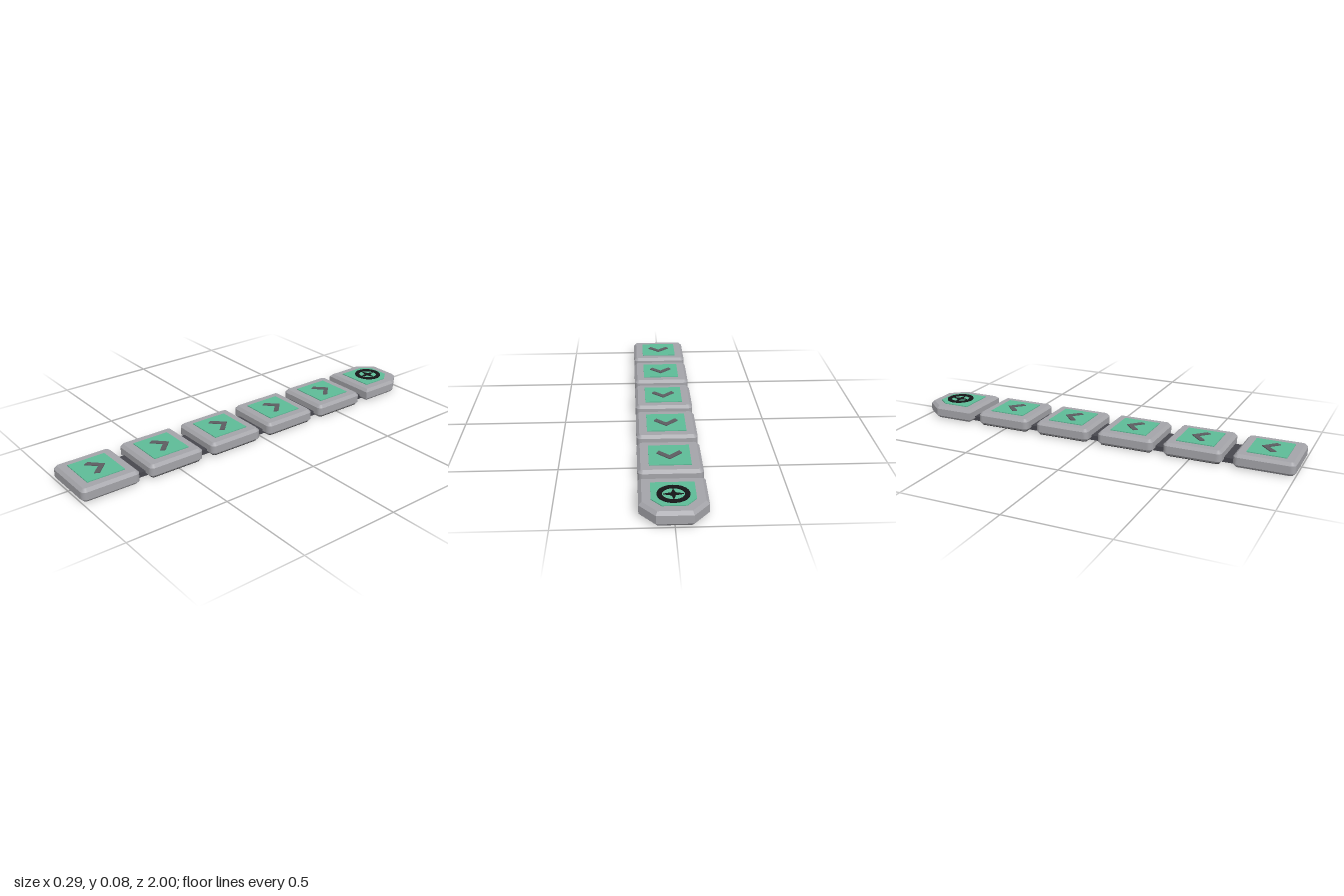
import * as THREE from 'three';

const mat = (name, color) => {
  const m = new THREE.MeshStandardMaterial({ color });
  m.name = name;
  return m;
};

// Outline in plan: shape y points to the back (-z)
const outline = (pts) => new THREE.Shape(pts.map(([x, y]) => new THREE.Vector2(x, y)));

// Rectangle with rounded corners
function roundedSquare(h, r) {
  const s = new THREE.Shape();
  [[1, 1, 0], [-1, 1, 1], [-1, -1, 2], [1, -1, 3]].forEach(([sx, sy, q]) =>
    s.absarc(sx * (h - r), sy * (h - r), r, q * Math.PI / 2, (q + 1) * Math.PI / 2, false));
  s.closePath();
  return s;
}

// Square whose two back corners are cut off
const cutSquare = (h, cutX, cutY) => outline([
  [-h, -h], [h, -h], [h, cutY], [cutX, h], [-cutX, h], [-h, cutY],
]);

// Flat slab lying on y0, with optional chamfered edges
function slab(name, shape, y0, height, material, bevel = 0, curveSegments = 4) {
  const geo = new THREE.ExtrudeGeometry(shape, {
    depth: height - 2 * bevel, bevelEnabled: bevel > 0, bevelSegments: 1,
    bevelSize: bevel, bevelThickness: bevel, bevelOffset: -bevel, curveSegments,
  });
  geo.rotateX(-Math.PI / 2);
  geo.translate(0, y0 + bevel, 0);
  const mesh = new THREE.Mesh(geo, material);
  mesh.name = name;
  return mesh;
}

export function createModel() {
  const casing = mat('casing grey', 0xa4a4a9);
  const green = mat('panel green', 0x5dbb97);
  const dark = mat('connector grey', 0x47474e);
  const marker = mat('chevron grey', 0x5c5c61);
  const black = mat('emblem black', 0x151517);

  const model = new THREE.Group();
  model.name = 'segmentedTrack';
  const half = 0.145, pitch = 0.342, first = 0.855;

  // Square tiles with a chevron pointing to the back
  const chevron = outline([
    [0, 0.045], [-0.058, -0.012], [-0.046, -0.034], [0, 0.012], [0.046, -0.034], [0.058, -0.012],
  ]);
  for (let i = 0; i < 5; i++) {
    const tile = new THREE.Group();
    tile.name = 'tile' + (i + 1);
    tile.position.z = first - i * pitch;
    tile.add(
      slab('tileBody', roundedSquare(half, 0.025), 0.002, 0.066, casing, 0.014),
      slab('tilePanel', roundedSquare(0.094, 0.001), 0.066, 0.006, green),
      slab('chevron', chevron, 0.07, 0.006, marker),
    );
    // Dark foot plate under every tile but the front one
    if (i > 0) tile.add(slab('footPlate', roundedSquare(0.131, 0.012), 0, 0.004, black));
    model.add(tile);
  }

  // End tile with cut corners
  const head = new THREE.Group();
  head.name = 'endTile';
  head.position.z = -first;
  head.add(
    slab('endBody', cutSquare(half, 0.077, 0.06), 0.002, 0.066, casing, 0.014),
    slab('endPanel', cutSquare(0.094, 0.052, 0.042), 0.066, 0.006, green),
  );

  // Ring emblem with a four-pointed star
  const ring = new THREE.Shape().absarc(0, 0, 0.069, 0, Math.PI * 2, false);
  ring.holes.push(new THREE.Path().absarc(0, 0, 0.048, 0, Math.PI * 2, true));
  const star = outline(Array.from({ length: 8 }, (_, i) => {
    const r = i % 2 ? 0.013 : 0.042, a = i * Math.PI / 4;
    return [r * Math.cos(a), r * Math.sin(a)];
  }));
  const emblem = new THREE.Group();
  emblem.name = 'emblem';
  emblem.position.z = -0.008;
  emblem.add(
    slab('emblemRing', ring, 0.07, 0.007, black, 0, 24),
    slab('emblemStar', star, 0.07, 0.006, black),
  );
  head.add(emblem);
  model.add(head);

  // Flat links from the middle of each tile to the middle of the next
  for (let i = 0; i < 5; i++) {
    const link = new THREE.Mesh(new THREE.BoxGeometry(0.19, 0.024, pitch), dark);
    link.name = 'link' + (i + 1);
    link.position.set(0, 0.013, first - (i + 0.5) * pitch);
    model.add(link);
  }
  return model;
}
